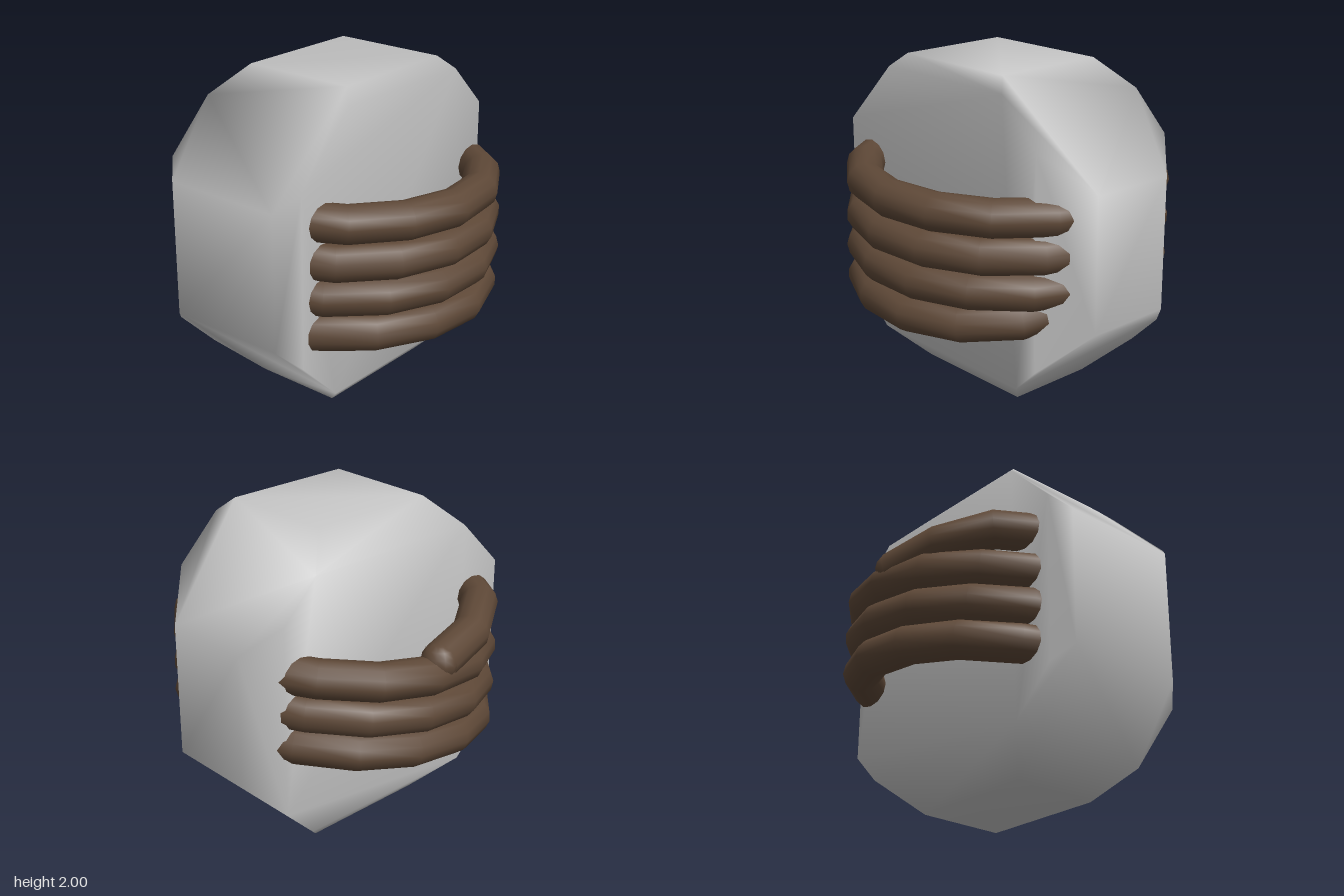
import * as THREE from 'three';
import { mergeVertices } from 'three/addons/utils/BufferGeometryUtils.js';
import { ConvexGeometry } from 'three/addons/geometries/ConvexGeometry.js';

// Corner points of the convex solid bounded by planes [nx, ny, nz, d] (n . p <= d)
function solidCorners(planes) {
  const corners = [];
  const m = new THREE.Matrix3();
  const n = planes.length;
  for (let i = 0; i < n; i++) for (let j = i + 1; j < n; j++) for (let k = j + 1; k < n; k++) {
    const [a, b, c] = [planes[i], planes[j], planes[k]];
    m.set(a[0], a[1], a[2], b[0], b[1], b[2], c[0], c[1], c[2]);
    if (Math.abs(m.determinant()) < 1e-6) continue;
    const p = new THREE.Vector3(a[3], b[3], c[3]).applyMatrix3(m.invert());
    const inside = planes.every(q => q[0] * p.x + q[1] * p.y + q[2] * p.z <= q[3] + 1e-5);
    if (inside && !corners.some(q => q.distanceTo(p) < 1e-3)) corners.push(p);
  }
  return corners;
}

export function createModel() {
  const group = new THREE.Group();
  const stone = new THREE.MeshStandardMaterial({ color: 0xc6c6c6 });
  stone.name = 'stone grey';
  const brown = new THREE.MeshStandardMaterial({ color: 0x5e4837 });
  brown.name = 'rope brown';

  // Stone: a slab with uneven chamfers, shaded smoothly
  const planes = [
    [1, 0, 0, 1], [-1, 0, 0, 1], [0, 1, 0, 2], [0, -1, 0, 0], [0, 0, 1, 0.49], [0, 0, -1, 0.49],
    [1, 1, 0, 2.41], [-1, 1, 0, 2.42], [1, -1, 0, 0.41], [-1, -1, 0, 0.41],
    [0, 1, 1, 2.41], [0, 1, -1, 2.31], [0, -1, 1, 0.29], [0, -1, -1, 0.27],
    [1, 0, 1, 1.25], [-1, 0, 1, 1.38], [1, 0, -1, 1.31], [-1, 0, -1, 1.39],
  ];
  let stoneGeo = new ConvexGeometry(solidCorners(planes));
  stoneGeo.deleteAttribute('normal');
  stoneGeo = mergeVertices(stoneGeo, 1e-3);
  stoneGeo.computeVertexNormals();
  const rock = new THREE.Mesh(stoneGeo, stone);
  rock.name = 'stone';
  group.add(rock);

  // Rope: one coil; [turn, height] keys, turn 0 at -x, running across the front first
  const keys = [
    [-0.25, 1.26], [-0.12, 1.37], [0, 1.33], [0.1, 1.31], [0.4, 1.27], [0.6, 1.27],
    [0.9, 1.09], [1.1, 1.08], [1.4, 1.05], [1.6, 1.05],
    [1.9, 0.87], [2.1, 0.87], [2.4, 0.84], [2.6, 0.84],
    [2.9, 0.65], [3.1, 0.65], [3.3, 0.63], [3.39, 0.65], [3.46, 0.72],
  ];
  const heightAt = t => {
    let i = 0;
    while (i < keys.length - 2 && keys[i + 1][0] < t) i++;
    const [[t0, y0], [t1, y1]] = [keys[i], keys[i + 1]];
    return THREE.MathUtils.lerp(y0, y1, (t - t0) / (t1 - t0));
  };
  const radius = 0.87, thick = 0.113, start = -0.25, end = 3.46, steps = 60;
  const path = [];
  for (let i = 0; i <= steps; i++) {
    const t = THREE.MathUtils.lerp(start, end, i / steps);
    const a = t * Math.PI * 2;
    const r = radius - 0.05 * THREE.MathUtils.smoothstep(t, 3.3, end);
    path.push(new THREE.Vector3(-Math.cos(a) * r, heightAt(t), Math.sin(a) * r));
  }
  const rope = new THREE.Group();
  rope.name = 'rope';
  const coil = new THREE.Mesh(new THREE.TubeGeometry(new THREE.CatmullRomCurve3(path), steps, thick, 12), brown);
  coil.name = 'ropeCoil';
  rope.add(coil);

  // Rounded rope ends
  for (const p of [path[0], path[steps]]) {
    const tip = new THREE.Mesh(new THREE.SphereGeometry(thick * 0.98, 12, 8), brown);
    tip.name = 'ropeEnd';
    tip.position.copy(p);
    rope.add(tip);
  }
  group.add(rope);
  return group;
}
